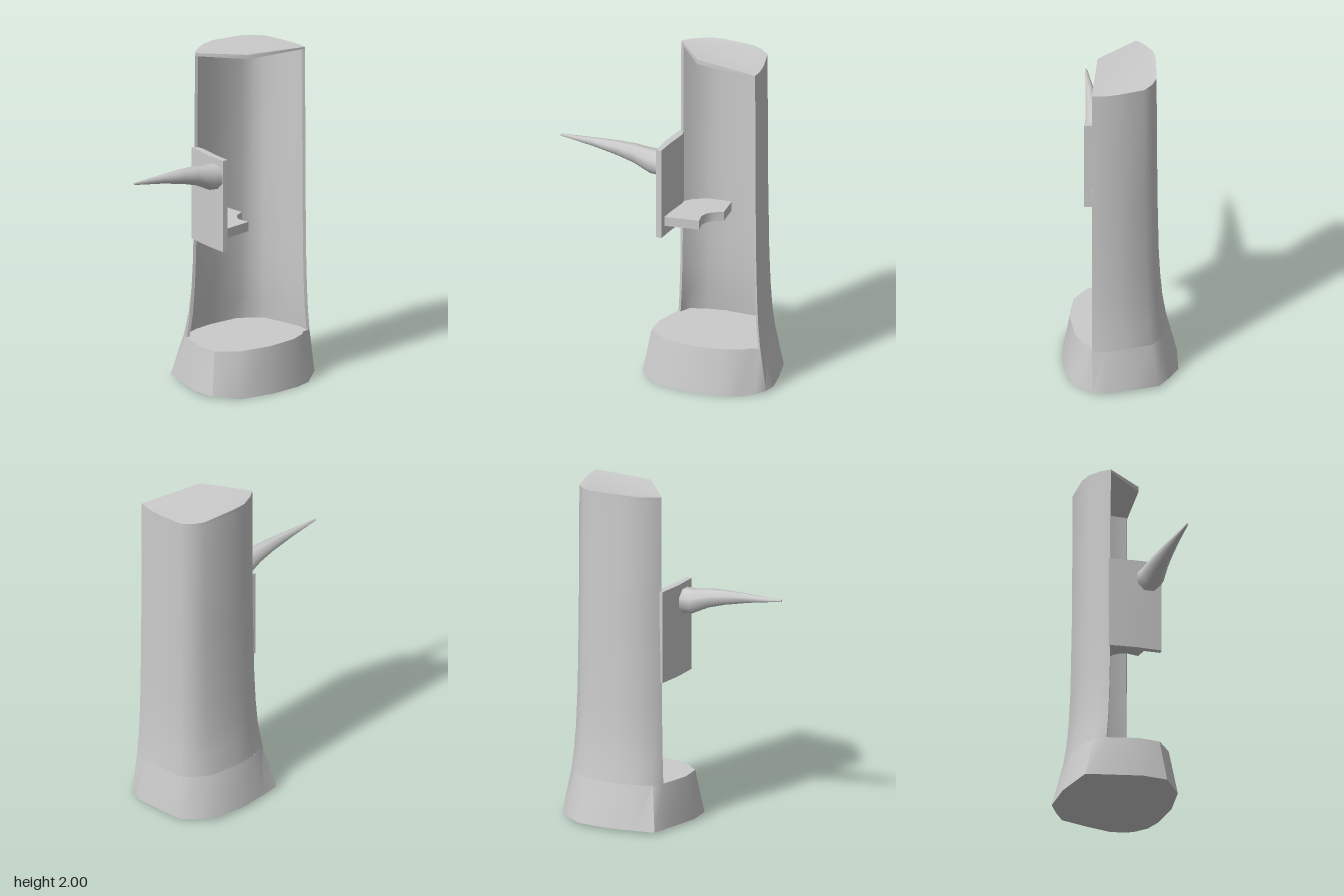
import * as THREE from 'three';
import { toCreasedNormals } from 'three/addons/utils/BufferGeometryUtils.js';

const material = new THREE.MeshStandardMaterial({ color: 0xcccccc });

// Skin a stack of closed rings of [x, y, z]; caps lie across the first and last ring.
function loft(name, rings, caps = true, crease = 0.8) {
  const pos = [];
  const tri = (a, b, c) => pos.push(...a, ...b, ...c);
  const n = rings[0].length;
  for (let r = 0; r < rings.length - 1; r++) {
    for (let i = 0; i < n; i++) {
      const j = (i + 1) % n;
      const a = rings[r][i], b = rings[r][j], c = rings[r + 1][i], d = rings[r + 1][j];
      tri(a, c, b);
      tri(b, c, d);
    }
  }
  if (caps) {
    [[rings[0], -1], [rings[rings.length - 1], 1]].forEach(([ring, up]) => {
      const flat = ring.map(p => new THREE.Vector2(p[0], p[2]));
      THREE.ShapeUtils.triangulateShape(flat, []).forEach(f => {
        const [a, b, c] = f.map(k => ring[k]);
        const ny = (b[2] - a[2]) * (c[0] - a[0]) - (b[0] - a[0]) * (c[2] - a[2]);
        if (ny * up > 0) tri(a, b, c); else tri(a, c, b);
      });
    });
  }
  const geo = new THREE.BufferGeometry();
  geo.setAttribute('position', new THREE.Float32BufferAttribute(pos, 3));
  const mesh = new THREE.Mesh(toCreasedNormals(geo, crease), material);
  mesh.name = name;
  return mesh;
}

const atHeight = (pts, y) => pts.map(([x, z]) => [x, y, z]);
const slab = (name, pts, y0, y1) => loft(name, [atHeight(pts, y0), atHeight(pts, y1)]);
const mix = (a, b, t) => [a[0] + (b[0] - a[0]) * t, a[1] + (b[1] - a[1]) * t];

// Trunk outline [x, z] from the left edge, round the back, to the right edge
const trunkFoot = [[-0.065, -0.2], [-0.04, -0.29], [0.08, -0.312], [0.22, -0.335], [0.43, -0.325],
  [0.52, -0.265], [0.6, -0.2], [0.635, -0.03], [0.655, 0.11], [0.638, 0.19]];
const trunkTop = [[0, -0.12], [0.045, -0.16], [0.13, -0.205], [0.22, -0.215], [0.42, -0.2],
  [0.48, -0.17], [0.53, -0.12], [0.565, 0.03], [0.575, 0.12], [0.57, 0.187]];
// Front of the base, continuing from the right edge back to the left
const frontFoot = [[0.58, 0.23], [0.51, 0.29], [0.41, 0.32], [0.22, 0.33], [0, 0.29], [-0.125, 0.18], [-0.13, 0.03]];
const frontRim = [[0.55, 0.195], [0.51, 0.23], [0.41, 0.27], [0.22, 0.283], [0.03, 0.245], [-0.08, 0.15], [-0.085, 0.02]];

// Height and flare (1 = foot outline, 0 = top outline)
const flare = [[0.25, 0.5], [0.4, 0.3], [0.55, 0.19], [0.75, 0.11], [1.2, 0.04], [1.98, 0]];
const trunkAt = t => trunkTop.map((p, i) => mix(p, trunkFoot[i], t));

// Move a point inwards by the thickness of the bark
function inset([x, z], d = 0.018) {
  const dx = x - 0.27, dz = z;
  const l = Math.hypot(dx, dz);
  return [x - dx / l * d, z - dz / l * d];
}

export function createModel() {
  const model = new THREE.Group();
  model.name = 'hollowTrunk';

  // Solid flared base whose top is the floor of the hollow
  const foot = [...trunkFoot, ...frontFoot].map(([x, z]) => [x, z > 0.2 ? 0 : 0.015, z]);
  const rim = atHeight([...trunkAt(0.47), ...frontRim], 0.272);
  model.add(loft('base', [foot, rim]));

  // Thin curved bark wall, open at the front
  const wall = flare.map(([y, t]) => {
    const outer = trunkAt(t);
    const inner = outer.map(p => inset(p)).reverse();
    return atHeight([...outer, ...inner], y);
  });
  model.add(loft('barkWall', wall));

  // Roof, falling slightly to either side
  const roofOutline = [...trunkTop, [0.19, 0.12]];
  const roofUpper = roofOutline.map(([x, z]) => [x, 2 - 0.045 * Math.abs(x - 0.22), z]);
  model.add(loft('roof', [atHeight(roofOutline, 1.972), roofUpper]));

  // Bark panel standing forward of the left edge
  model.add(slab('sidePanel', [[-0.042, 0.176], [-0.036, 0.03], [-0.012, -0.135], [0.015, -0.13],
    [0.022, -0.077], [0, 0.07], [-0.009, 0.18]], 0.87, 1.42));

  // Shelf inside with a notched corner
  model.add(slab('shelf', [[-0.01, 0.14], [0.01, -0.1], [0.06, -0.155], [0.14, -0.195], [0.28, -0.2],
    [0.29, -0.045], [0.235, -0.02], [0.205, 0.01], [0.19, 0.05], [0.2, 0.12]], 0.932, 0.988));

  // Broken branch: x, y, z, radius from root to tip
  const branch = [[-0.02, 1.31, 0.1, 0.078], [-0.1, 1.313, 0.1, 0.073], [-0.2, 1.345, 0.103, 0.056],
    [-0.3, 1.362, 0.105, 0.043], [-0.45, 1.378, 0.107, 0.026], [-0.655, 1.393, 0.11, 0.006], [-0.655, 1.393, 0.11, 0.0001]];
  const branchRings = branch.map(([x, y, z, r]) => Array.from({ length: 8 }, (_, i) => {
    const a = (i + 0.5) * Math.PI / 4;
    return [x, y + r * Math.cos(a), z + r * Math.sin(a)];
  }));
  model.add(loft('branch', branchRings, false, 0.9));

  return model;
}
